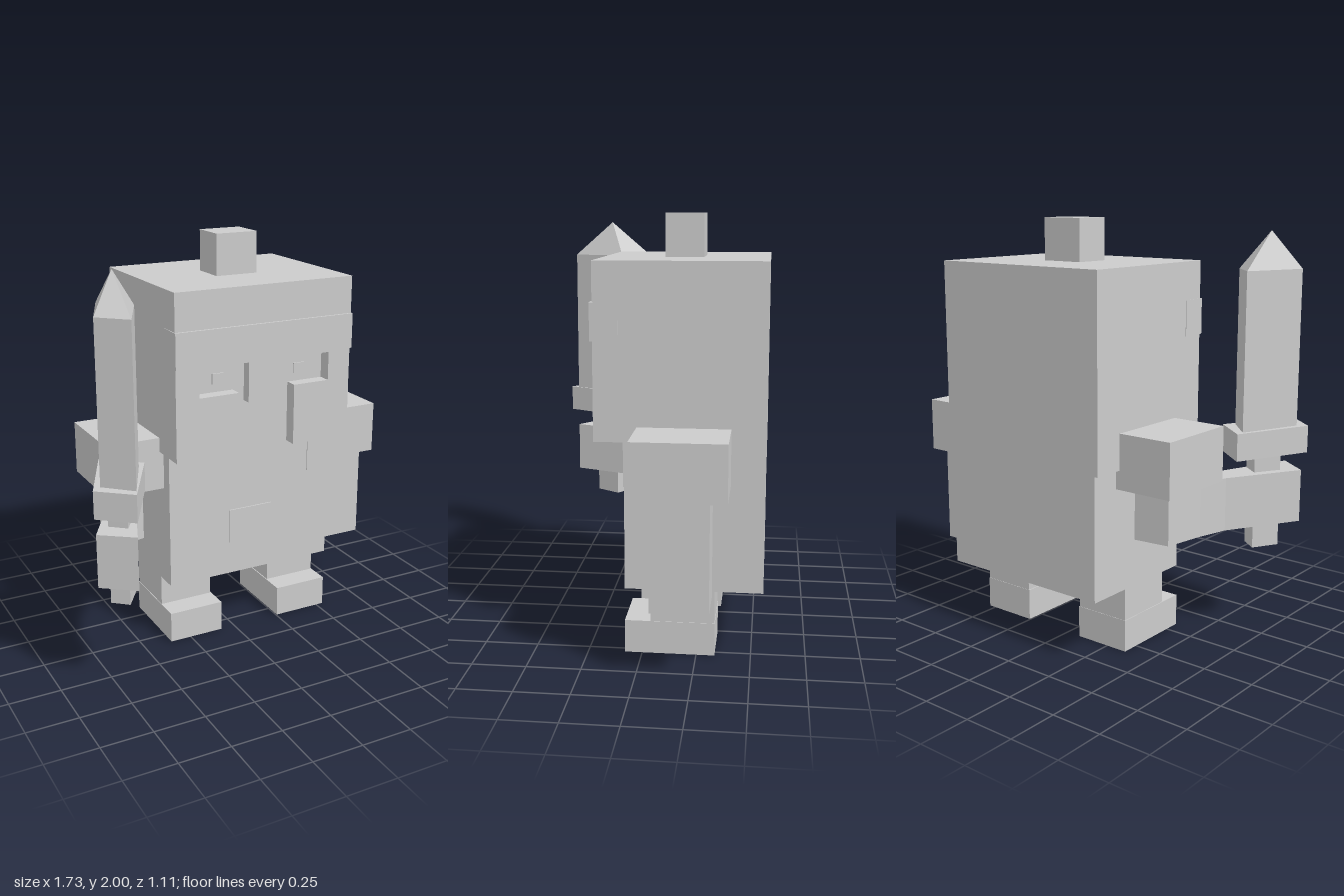
import * as THREE from 'three';
import { ConvexGeometry } from 'three/addons/geometries/ConvexGeometry.js';

const MID = 0.09; // the body's mirror plane lies at this x

export function createModel() {
  const model = new THREE.Group();
  model.name = 'blockKnight';
  const material = new THREE.MeshStandardMaterial({ color: 0xcccccc, flatShading: true });

  const add = (name, geometry, parent = model) => {
    const mesh = new THREE.Mesh(geometry, material);
    mesh.name = name;
    parent.add(mesh);
    return mesh;
  };

  // Box given by its extents on each axis
  const box = (name, [x0, x1], [y0, y1], [z0, z1], parent) => {
    const g = new THREE.BoxGeometry(x1 - x0, y1 - y0, z1 - z0);
    g.translate((x0 + x1) / 2, (y0 + y1) / 2, (z0 + z1) / 2);
    return add(name, g, parent);
  };

  // Upright prism over a plan outline of [x, z] points
  const prism = (name, plan, y0, y1, parent) => {
    const shape = new THREE.Shape(plan.map(([x, z]) => new THREE.Vector2(x, -z)));
    const g = new THREE.ExtrudeGeometry(shape, { depth: y1 - y0, bevelEnabled: false });
    g.rotateX(-Math.PI / 2).translate(0, y0, 0);
    return add(name, g, parent);
  };

  // Torso with buckle
  box('torso', [-0.355, 0.54], [0.31, 1.0], [-0.553, 0.08]);
  box('beltBuckle', [-0.03, 0.205], [0.48, 0.655], [0.07, 0.087]);

  // Helmet: solid core, front shell with a T-shaped opening, neck guard
  const head = new THREE.Group();
  head.name = 'head';
  model.add(head);
  box('headCore', [-0.375, 0.56], [1.0, 1.8], [-0.555, 0.15], head);
  box('neckGuard', [-0.375, 0.56], [0.9, 1.0], [-0.555, -0.25], head);
  const visor = new THREE.Shape([
    [-0.375, 1.0], [-0.05, 1.0], [-0.05, 1.3], [-0.255, 1.3], [-0.255, 1.44], [0.44, 1.44],
    [0.44, 1.3], [0.25, 1.3], [0.25, 1.0], [0.56, 1.0], [0.56, 1.8], [-0.375, 1.8],
  ].map(([x, y]) => new THREE.Vector2(x, y)));
  const visorGeometry = new THREE.ExtrudeGeometry(visor, { depth: 0.065, bevelEnabled: false });
  add('visor', visorGeometry.translate(0, 0, 0.15), head);
  box('browBand', [-0.378, 0.563], [1.45, 1.62], [0.1, 0.227], head);
  box('noseGuard', [0.01, 0.17], [1.24, 1.445], [0.14, 0.2], head);
  box('crest', [-0.02, 0.195], [1.8, 2.0], [-0.25, -0.07], head);

  // Paired parts, mirrored about the middle of the body
  for (const [side, s] of [['left', 1], ['right', -1]]) {
    const span = (a, b) => [MID + s * a, MID + s * b].sort((p, q) => p - q);
    box(side + 'Eye', span(0.19, 0.25), [1.34, 1.39], [0.14, 0.157], head);
    box(side + 'Leg', span(0.17, 0.445), [0.15, 0.32], [-0.333, -0.04]);
    box(side + 'Foot', span(0.165, 0.448), [0, 0.155], [-0.335, 0.08]);
    box(side + 'Shoulder', span(0.44, s > 0 ? 0.77 : 0.74), [0.81, 1.07], [-0.4, 0.02]);
    box(side + 'Strap', span(0.325, 0.447), [0.79, 1.0], [0.06, 0.085]);
  }

  // Left arm hangs straight, right arm bends forward to the sword
  box('leftArm', [0.625, 0.84], [0.315, 0.82], [-0.325, -0.065]);
  prism('rightArm', [
    [-0.7, 0.51], [-0.505, 0.01], [-0.46, 0], [-0.4, -0.32],
    [-0.575, -0.3], [-0.61, -0.1], [-0.65, 0.05], [-0.85, 0.4],
  ], 0.56, 0.815);

  // Sword
  const sword = new THREE.Group();
  sword.name = 'sword';
  model.add(sword);
  prism('hilt', [[-0.7, 0.22], [-0.62, 0.28], [-0.7, 0.4], [-0.77, 0.34]], 0.44, 0.92, sword);
  prism('crossGuard', [[-0.7, 0.06], [-0.53, 0.2], [-0.715, 0.55], [-0.865, 0.425]], 0.9, 1.03, sword);
  const section = [[-0.7, 0.105], [-0.575, 0.24], [-0.7, 0.51], [-0.82, 0.395]];
  const corners = [1.02, 1.77].flatMap((y) => section.map(([x, z]) => new THREE.Vector3(x, y, z)));
  add('blade', new ConvexGeometry([...corners, new THREE.Vector3(-0.7, 1.945, 0.31)]), sword);

  return model;
}
